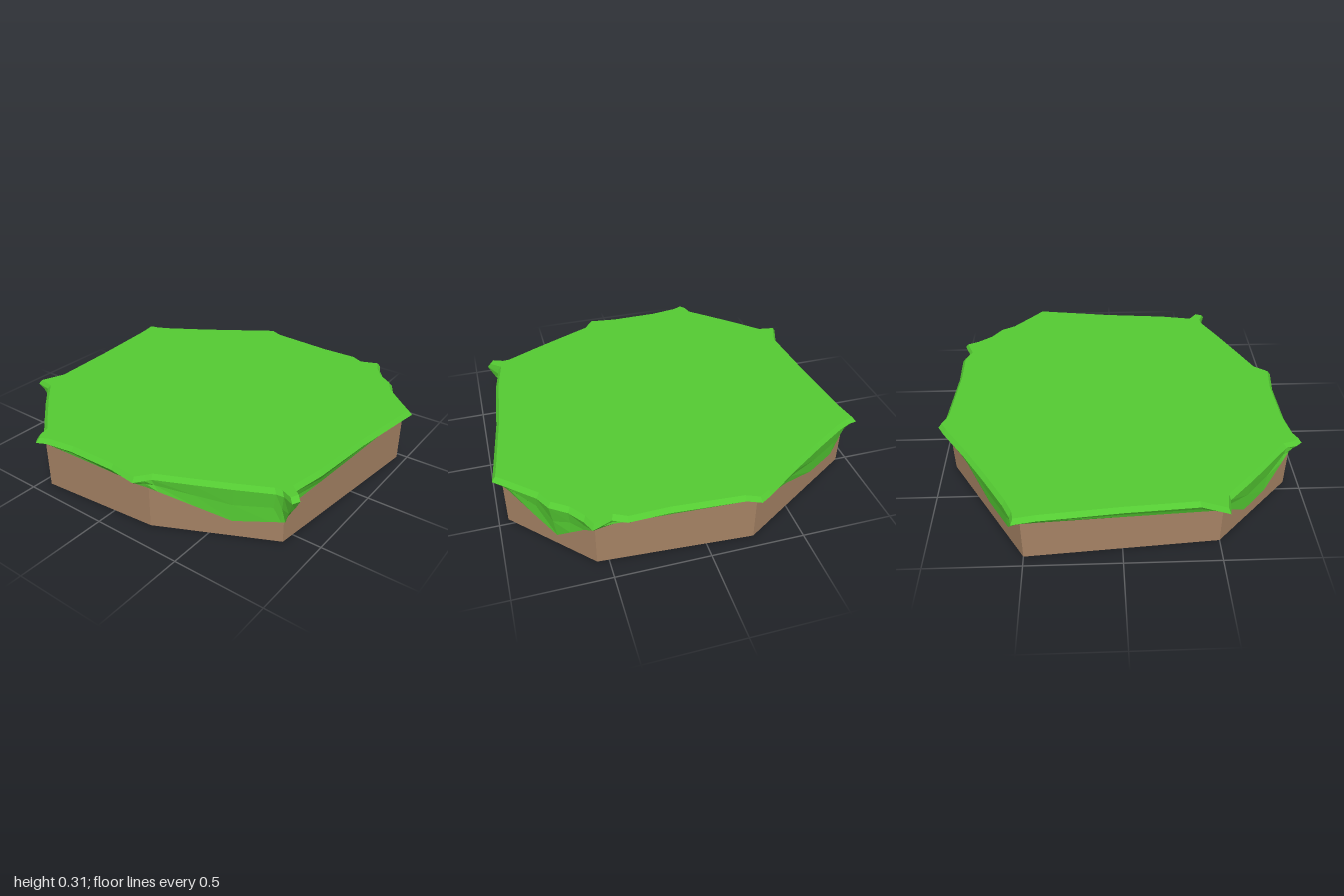
import * as THREE from 'three';

// Plan corners (x, z) of the earth slab, starting front left, anticlockwise from above
const CORNERS = [[-0.445, 0.92], [0.23, 0.865], [0.83, 0.575], [0.95, -0.465],
  [0.56, -0.88], [-0.25, -0.93], [-0.94, -0.5], [-0.865, 0.5]];

// Rim of the turf: [u, x, z], where u = wall number + fraction along that wall
const RIM = [
  [0, -0.45, 0.98], [0.06, -0.4, 0.955], [0.3, -0.24, 0.93], [0.7, 0.04, 0.925], [0.93, 0.2, 0.945],
  [1, 0.235, 0.9], [1.08, 0.255, 0.87], [1.35, 0.44, 0.785], [1.62, 0.62, 0.7], [1.9, 0.8, 0.61],
  [1.97, 0.84, 0.605], [2, 0.9, 0.63], [2.02, 0.92, 0.59], [2.06, 0.86, 0.54], [2.25, 0.895, 0.35],
  [2.6, 0.93, -0.02], [2.95, 0.985, -0.4], [3, 0.998, -0.48], [3.1, 0.93, -0.54], [3.35, 0.8, -0.66],
  [3.6, 0.755, -0.74], [3.75, 0.67, -0.8], [3.9, 0.61, -0.88], [4, 0.58, -0.945], [4.06, 0.54, -0.93],
  [4.12, 0.48, -0.905], [4.2, 0.41, -0.94], [4.5, 0.2, -0.935], [4.9, -0.18, -0.96],
  [5, -0.25, -0.99], [5.07, -0.31, -0.955], [5.3, -0.5, -0.82], [5.6, -0.7, -0.69], [5.85, -0.87, -0.585],
  [5.97, -0.95, -0.545], [6, -1, -0.535], [6.1, -0.98, -0.42], [6.5, -0.94, 0], [6.9, -0.915, 0.38],
  [7, -0.965, 0.515], [7.05, -0.87, 0.53], [7.3, -0.74, 0.66], [7.6, -0.6, 0.79],
  [7.85, -0.49, 0.89], [7.95, -0.475, 0.95]];

// Height of the hanging lower edge: [u, y]
const HEM = [[0, 0.27], [1, 0.24], [1.62, 0.1], [2, 0.13], [2.06, 0.215], [3, 0.28], [3.35, 0.16],
  [3.6, 0.08], [3.9, 0.21], [4.1, 0.26], [5, 0.27], [5.3, 0.21], [5.6, 0.125], [5.85, 0.12],
  [6, 0.25], [7, 0.23], [7.1, 0.19], [7.3, 0.1], [7.6, 0.11], [7.85, 0.21], [8, 0.27]];

const TOP = 0.315, LIP = 0.29;
const mix = THREE.MathUtils.lerp;

function wallPoint(u) {
  const i = Math.floor(u), a = CORNERS[i % 8], b = CORNERS[(i + 1) % 8];
  return [mix(a[0], b[0], u - i), mix(a[1], b[1], u - i)];
}

function hemHeight(u) {
  const i = HEM.findIndex((h) => h[0] > u), a = HEM[i - 1], b = HEM[i];
  return mix(a[1], b[1], (u - a[0]) / (b[0] - a[0]));
}

// Turf: flat top, rounded lip, and a skirt hanging against the walls
function turfGeometry() {
  const positions = [0, TOP, 0], index = [], n = RIM.length, rings = 5;
  for (const [u, x, z] of RIM) {
    const [wx, wz] = wallPoint(u), hem = hemHeight(u);
    positions.push(x * 0.98, TOP, z * 0.98);
    positions.push(x, LIP, z);
    positions.push(mix(wx, x, 0.6), mix(LIP, hem, 0.5), mix(wz, z, 0.6));
    positions.push(wx * 1.015, hem, wz * 1.015);
    positions.push(wx * 0.99, hem + 0.005, wz * 0.99);
  }
  for (let i = 0; i < n; i++) {
    const a = 1 + i * rings, b = 1 + ((i + 1) % n) * rings;
    index.push(0, a, b);
    for (let k = 0; k < rings - 1; k++) {
      index.push(a + k, a + k + 1, b + k + 1, a + k, b + k + 1, b + k);
    }
  }
  const geometry = new THREE.BufferGeometry();
  geometry.setAttribute('position', new THREE.Float32BufferAttribute(positions, 3));
  geometry.setIndex(index);
  geometry.computeVertexNormals();
  return geometry;
}

export function createModel() {
  const group = new THREE.Group();
  group.name = 'grassyPlatform';

  // Earth slab: eight-sided plan extruded upwards
  const plan = new THREE.Shape(CORNERS.map(([x, z]) => new THREE.Vector2(x, -z)));
  const slab = new THREE.ExtrudeGeometry(plan, { depth: 0.3, bevelEnabled: false });
  slab.rotateX(-Math.PI / 2);
  const earth = new THREE.Mesh(slab, new THREE.MeshStandardMaterial({ color: 0xa58264, flatShading: true }));
  earth.name = 'earthSlab';

  const turf = new THREE.Mesh(turfGeometry(),
    new THREE.MeshStandardMaterial({ color: 0x55cc33, flatShading: true, side: THREE.DoubleSide }));
  turf.name = 'grassTurf';

  group.add(earth, turf);
  return group;
}
